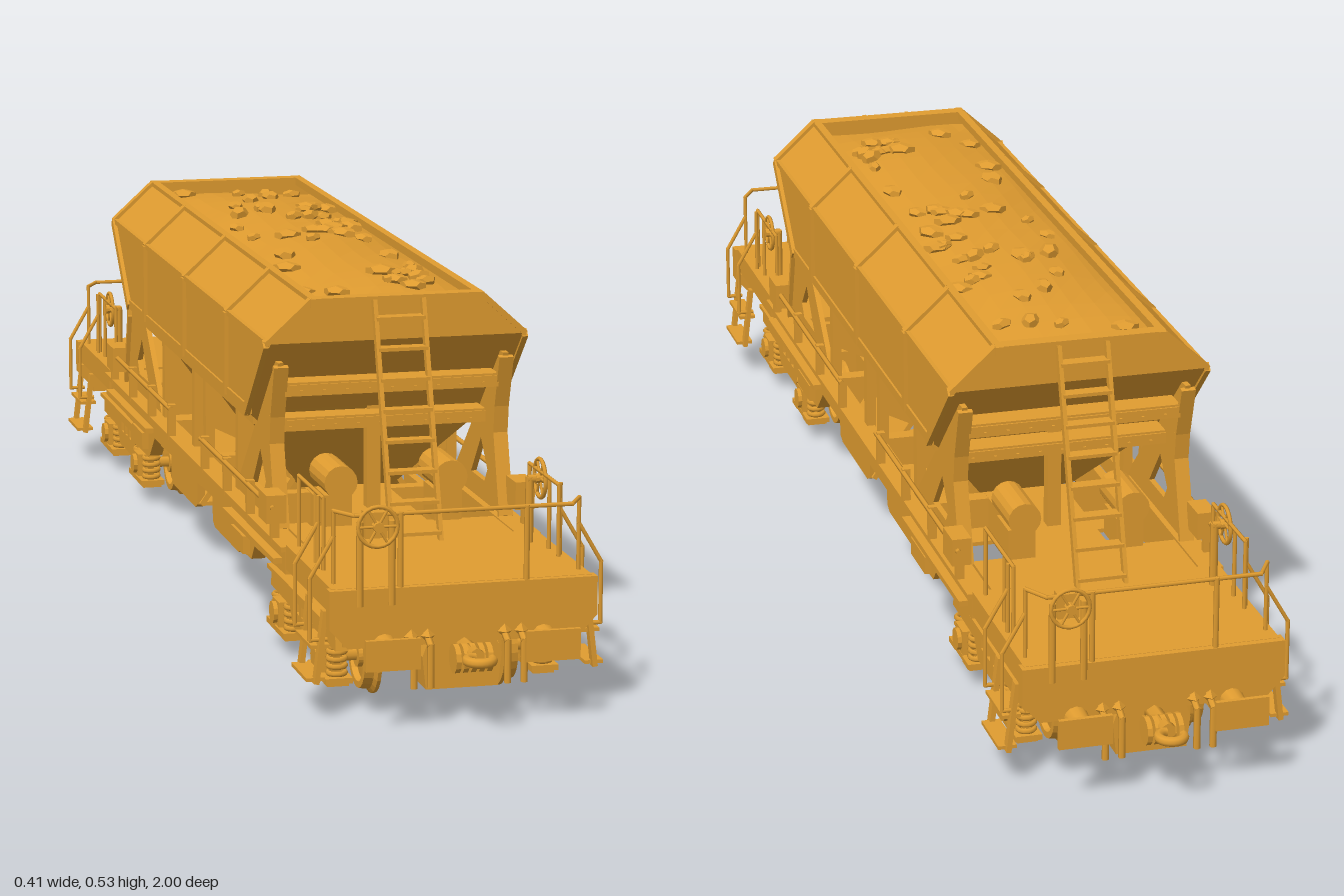
import * as THREE from 'three';

const V = (x, y, z) => new THREE.Vector3(x, y, z);
const smooth = new THREE.MeshStandardMaterial({ color: 0xe09c30, side: THREE.DoubleSide });
const flat = new THREE.MeshStandardMaterial({ color: 0xe09c30, side: THREE.DoubleSide, flatShading: true });

function add(g, name, geo, x = 0, y = 0, z = 0, mat = flat) {
  const m = new THREE.Mesh(geo, mat);
  m.name = name;
  m.position.set(x, y, z);
  g.add(m);
  return m;
}
const box = (g, name, w, h, d, x, y, z) => add(g, name, new THREE.BoxGeometry(w, h, d), x, y, z);

// Square bar between two points
function bar(g, name, a, b, w, t = w) {
  const m = new THREE.Mesh(new THREE.BoxGeometry(w, t, a.distanceTo(b)), flat);
  m.name = name;
  m.position.copy(a).add(b).multiplyScalar(0.5);
  m.lookAt(b);
  g.add(m);
}
// Round rod through a list of points
function rod(g, name, r, ...pts) {
  for (let i = 1; i < pts.length; i++) {
    const d = pts[i].clone().sub(pts[i - 1]);
    const m = add(g, name, new THREE.CylinderGeometry(r, r, d.length() + r, 6), 0, 0, 0, smooth);
    m.position.copy(pts[i]).add(pts[i - 1]).multiplyScalar(0.5);
    m.quaternion.setFromUnitVectors(V(0, 1, 0), d.normalize());
  }
}
const poly = pts => new THREE.Shape(pts.map(p => new THREE.Vector2(...p)));
// Plate with a (z, y) outline, centred on x
function plate(g, name, pts, x, d, holes = []) {
  const s = poly(pts);
  holes.forEach(h => s.holes.push(poly(h)));
  const geo = new THREE.ExtrudeGeometry(s, { depth: d, bevelEnabled: false });
  add(g, name, geo.translate(0, 0, -d / 2).rotateY(-Math.PI / 2), x);
}
// Rectangular loft through [y, halfX, halfZ] rings, bottom to top
function loft(g, name, rings) {
  const pos = [], sx = [1, 1, -1, -1], sz = [1, -1, -1, 1];
  const p = ([y, x, z], k) => [sx[k % 4] * x, y, sz[k % 4] * z];
  for (let i = 0; i + 1 < rings.length; i++) for (let k = 0; k < 4; k++) {
    const a = p(rings[i], k), b = p(rings[i], k + 1), c = p(rings[i + 1], k + 1), d = p(rings[i + 1], k);
    pos.push(...a, ...b, ...c, ...a, ...c, ...d);
  }
  const geo = new THREE.BufferGeometry();
  geo.setAttribute('position', new THREE.Float32BufferAttribute(pos, 3));
  geo.computeVertexNormals();
  return add(g, name, geo);
}
// Spoked handwheel facing z
function handWheel(g, x, y, z, turn) {
  const w = new THREE.Group();
  w.name = 'handWheel';
  add(w, 'wheelRim', new THREE.TorusGeometry(0.027, 0.003, 6, 20), 0, 0, 0, smooth);
  add(w, 'wheelHub', new THREE.CylinderGeometry(0.007, 0.007, 0.014, 10).rotateX(Math.PI / 2));
  for (let i = 0; i < 3; i++) {
    const a = i * Math.PI / 3, c = Math.cos(a) * 0.027, s = Math.sin(a) * 0.027;
    rod(w, 'wheelSpoke', 0.002, V(c, s, 0), V(-c, -s, 0));
  }
  w.position.set(x, y, z);
  w.rotation.y = turn;
  g.add(w);
}

function buildHopper(g) {
  loft(g, 'hopperShell', [[0.18, 0.07, 0.27], [0.31, 0.165, 0.4], [0.33, 0.185, 0.42], [0.45, 0.185, 0.545], [0.51, 0.12, 0.545]]);
  // Rim, corner frames and ribs
  for (const s of [-1, 1]) {
    box(g, 'topRail', 0.012, 0.012, 1.1, s * 0.119, 0.506, 0);
    box(g, 'endTopRail', 0.24, 0.012, 0.022, 0, 0.506, s * 0.537);
    box(g, 'shoulderRail', 0.006, 0.008, 1.09, s * 0.185, 0.45, 0);
    box(g, 'lowerRail', 0.008, 0.014, 0.85, s * 0.184, 0.334, 0);
    box(g, 'bottomRail', 0.02, 0.018, 0.8, s * 0.163, 0.316, 0);
    for (const z of [-0.54, -0.29, 0, 0.29, 0.54]) {
      const end = Math.abs(z) > 0.5;
      bar(g, 'upperRib', V(s * 0.121, 0.51, z), V(s * 0.187, 0.45, z), 0.014, 0.008);
      bar(g, 'lowerRib', V(s * 0.187, 0.45, z), V(s * 0.187, 0.33, end ? Math.sign(z) * 0.418 : z), 0.008, 0.014);
    }
    // Lower side posts and discharge chutes
    for (const z of [-0.26, -0.04, 0.04, 0.26]) {
      box(g, 'chutePost', 0.014, 0.15, 0.018, s * 0.158, 0.245, z);
      plateX(g, s, z);
    }
    for (const z of [-0.15, 0.15]) {
      bar(g, 'chuteFlap', V(s * 0.07, 0.2, z), V(s * 0.15, 0.085, z), 0.2, 0.008);
      plate(g, 'chuteDoor', [[z - 0.1, 0.145], [z - 0.095, 0.085], [z - 0.08, 0.078], [z + 0.08, 0.078], [z + 0.095, 0.085], [z + 0.1, 0.145]], s * 0.15, 0.012);
      box(g, 'doorBand', 0.006, 0.01, 0.2, s * 0.158, 0.135, z);
    }
    // End saddle with cut-outs, flange and cross beams
    for (const e of [-1, 1]) {
      const m = pts => pts.map(([z, y]) => [e * z, y]);
      plate(g, 'endSaddle', m([[0.53, 0.42], [0.5, 0.31], [0.535, 0.185], [0.27, 0.185], [0.29, 0.21], [0.41, 0.325], [0.51, 0.42]]), s * 0.163, 0.008,
        [m([[0.37, 0.215], [0.44, 0.215], [0.455, 0.235], [0.42, 0.275]])]);
      const f = m([[0.53, 0.415], [0.507, 0.34], [0.502, 0.3], [0.535, 0.185]]);
      for (let i = 1; i < 4; i++) bar(g, 'saddleFlange', V(s * 0.163, f[i - 1][1], f[i - 1][0]), V(s * 0.163, f[i][1], f[i][0]), 0.021, 0.008);
    }
  }
  for (const e of [-1, 1]) {
    for (const [y, z] of [[0.384, 0.49], [0.32, 0.425]]) {
      box(g, 'endBeam', 0.31, 0.01, 0.06, 0, y, e * z);
      box(g, 'endBeamLip', 0.31, 0.016, 0.005, 0, y - 0.006, e * (z + 0.03));
      for (let i = -4; i <= 4; i++) box(g, 'beamBolt', 0.004, 0.004, 0.004, i * 0.033, y - 0.008, e * (z + 0.034));
    }
    box(g, 'endPost', 0.02, 0.23, 0.02, 0, 0.295, e * 0.41);
  }
  for (const z of [-0.15, 0.15]) box(g, 'chuteFloor', 0.3, 0.006, 0.17, 0, 0.083, z);
}
// Triangular web beside a chute post
function plateX(g, s, z) {
  const geo = new THREE.ExtrudeGeometry(poly([[s * 0.16, 0.31], [s * 0.16, 0.23], [s * 0.08, 0.19]]), { depth: 0.006, bevelEnabled: false });
  add(g, 'chuteWeb', geo, 0, 0, z - 0.003);
}

function buildLoad(g) {
  let seed = 7;
  const rnd = () => (seed = (seed * 16807) % 2147483647) / 2147483647;
  const height = (x, z) => 0.483 + 0.03 * (1 - (x / 0.15) ** 2) * (1 - (z / 0.56) ** 4) + 0.003 * Math.sin(z * 19 + x * 23);
  const geo = new THREE.PlaneGeometry(0.28, 1.08, 8, 20).rotateX(-Math.PI / 2);
  const p = geo.attributes.position;
  for (let i = 0; i < p.count; i++) p.setY(i, height(p.getX(i), p.getZ(i)));
  add(g, 'ballastLoad', geo);
  // Loose stones
  for (let i = 0; i < 46; i++) {
    const x = (rnd() - 0.5) * 0.2, z = (rnd() - 0.5) * 0.96, r = 0.009 + rnd() * 0.006;
    const st = add(g, 'stone', new THREE.DodecahedronGeometry(r), x, height(x, z) + 0.003, z);
    st.scale.set(1, 0.75, 1.7);
    st.rotation.y = rnd() * 6;
  }
}

function buildFrame(g) {
  box(g, 'centreSill', 0.12, 0.05, 1.76, 0, 0.15, 0);
  for (const s of [-1, 1]) {
    const half = [[0.62, 0.178], [0.62, 0.14], [0.43, 0.135], [0.41, 0.112], [0.31, 0.108], [0.27, 0.145]];
    plate(g, 'sideSill', [...half, ...half.map(([z, y]) => [-z, y]).reverse()], s * 0.168, 0.02);
    box(g, 'sillFlange', 0.034, 0.007, 1.26, s * 0.17, 0.178, 0);
    for (const e of [-1, 1]) {
      // Side handrail, control boxes and sill stiffeners
      rod(g, 'sideRail', 0.004, V(s * 0.186, 0.225, e * 0.11), V(s * 0.186, 0.225, e * 0.58));
      for (const z of [0.12, 0.27, 0.42, 0.57]) box(g, 'railBracket', 0.012, 0.055, 0.01, s * 0.182, 0.203, e * z);
      box(g, 'controlBox', 0.028, 0.04, 0.05, s * 0.18, 0.222, e * 0.55);
      box(g, 'sillBox', 0.012, 0.026, 0.08, s * 0.182, 0.13, e * 0.36);
      box(g, 'sillLedge', 0.016, 0.008, 0.32, s * 0.183, 0.155, e * 0.44);
    }
  }
  for (const z of [-0.52, -0.27, 0, 0.27, 0.52]) box(g, 'crossMember', 0.33, 0.045, 0.025, 0, 0.152, z);
}

function buildBogie(z0) {
  const g = new THREE.Group();
  g.name = 'bogie';
  const wheel = [[0, -0.014], [0.016, -0.014], [0.016, -0.006], [0.042, -0.004], [0.042, -0.009], [0.055, -0.009], [0.055, -0.004], [0.049, 0], [0.047, 0.013], [0.038, 0.013], [0.036, 0.005], [0.018, 0.007], [0.018, 0.014], [0, 0.014]];
  for (const z of [-0.123, 0.123]) {
    rod(g, 'axle', 0.009, V(-0.15, 0.055, z), V(0.15, 0.055, z));
    for (const s of [-1, 1]) {
      const lathe = new THREE.LatheGeometry(wheel.map(p => new THREE.Vector2(...p)), 24).rotateZ(-s * Math.PI / 2);
      add(g, 'wheel', lathe, s * 0.095, 0.055, z);
      box(g, 'axleBox', 0.036, 0.036, 0.04, s * 0.145, 0.055, z);
      add(g, 'axleCap', new THREE.CylinderGeometry(0.016, 0.016, 0.01, 12).rotateZ(Math.PI / 2), s * 0.164, 0.055, z);
      for (const d of [-0.036, 0.036]) {
        for (let i = 0; i < 4; i++) add(g, 'springCoil', new THREE.TorusGeometry(0.012, 0.004, 5, 12).rotateX(Math.PI / 2), s * 0.145, 0.041 + i * 0.01, z + d, smooth);
        box(g, 'springSeat', 0.038, 0.008, 0.032, s * 0.145, 0.032, z + d);
      }
      box(g, 'boxKeeper', 0.03, 0.008, 0.09, s * 0.145, 0.027, z);
      box(g, 'brakeShoe', 0.02, 0.04, 0.008, s * 0.095, 0.055, z - Math.sign(z) * 0.06);
    }
  }
  for (const s of [-1, 1]) {
    const half = [[0.185, 0.108], [0.19, 0.078], [0.075, 0.076], [0.055, 0.05]];
    plate(g, 'bogieSide', [...half, ...half.map(([z, y]) => [-z, y]).reverse()], s * 0.145, 0.018,
      [-0.03, 0, 0.03].map(c => [[c - 0.009, 0.075], [c + 0.009, 0.075], [c + 0.009, 0.09], [c - 0.009, 0.09]]));
    box(g, 'bogieFlange', 0.032, 0.006, 0.37, s * 0.145, 0.108, 0);
    box(g, 'bogieEndBeam', 0.29, 0.022, 0.016, 0, 0.095, s * 0.185);
  }
  box(g, 'bolster', 0.29, 0.04, 0.1, 0, 0.08, 0);
  box(g, 'bogieFloor', 0.1, 0.04, 0.3, 0, 0.08, 0);
  add(g, 'pivot', new THREE.CylinderGeometry(0.04, 0.04, 0.03, 16), 0, 0.115, 0);
  g.position.z = z0;
  return g;
}

function buildEnd() {
  const g = new THREE.Group();
  g.name = 'endPlatform';
  box(g, 'deck', 0.36, 0.035, 0.26, 0, 0.168, 0.76);
  box(g, 'deckNeck', 0.3, 0.02, 0.12, 0, 0.172, 0.58);
  // Headstock, drawgear box and buffers
  const head = poly([[-0.185, 0.185], [-0.185, 0.132], [-0.16, 0.105], [0.16, 0.105], [0.185, 0.132], [0.185, 0.185]]);
  add(g, 'headstock', new THREE.ExtrudeGeometry(head, { depth: 0.02, bevelEnabled: false }), 0, 0, 0.88);
  loft(g, 'drawBox', [[0.04, 0.05, 0.03], [0.085, 0.055, 0.03], [0.125, 0.04, 0.03]]).position.z = 0.86;
  box(g, 'drawBoxFloor', 0.1, 0.004, 0.06, 0, 0.042, 0.86);
  rod(g, 'drawBar', 0.012, V(0, 0.1, 0.88), V(0, 0.1, 0.955));
  add(g, 'drawHook', new THREE.TorusGeometry(0.017, 0.007, 8, 16, 4.6).rotateX(Math.PI / 2), 0, 0.1, 0.976, smooth);
  for (let i = -2; i <= 2; i++) add(g, 'couplingScrew', new THREE.CylinderGeometry(0.02, 0.02, 0.007, 12).rotateZ(Math.PI / 2), i * 0.011, 0.093, 0.935);
  for (const s of [-1, 1]) {
    const c = s * 0.11;
    add(g, 'bufferStem', new THREE.CylinderGeometry(0.014, 0.018, 0.05, 12).rotateX(Math.PI / 2), c, 0.106, 0.915, smooth);
    box(g, 'bufferHead', 0.075, 0.042, 0.007, c, 0.106, 0.944);
    for (const x of [0.053, 0.076]) {
      rod(g, 'brakeHose', 0.005, V(s * x, 0.12, 0.905), V(s * x, 0.11, 0.925), V(s * x, 0.055, 0.925));
      add(g, 'hoseCock', new THREE.OctahedronGeometry(0.01), s * x, 0.12, 0.91);
    }
    // Corner steps and grab rails
    for (const z of [0.775, 0.86]) {
      bar(g, 'stepStringer', V(s * 0.182, 0.15, z), V(s * 0.194, 0.05, z), 0.014, 0.007);
      rod(g, 'grabRail', 0.003, V(s * 0.17, 0.25, z), V(s * 0.202, 0.195, z), V(s * 0.202, 0.11, z), V(s * 0.18, 0.11, z));
      rod(g, 'grabPost', 0.003, V(s * 0.17, 0.18, z), V(s * 0.17, 0.285, z));
    }
    for (const [y, x] of [[0.055, 0.194], [0.1, 0.188]]) box(g, 'step', 0.026, 0.005, 0.085, s * x, y, 0.8175);
    // Deck railings
    rod(g, 'sideGuard', 0.003, V(s * 0.165, 0.18, 0.645), V(s * 0.165, 0.285, 0.645), V(s * 0.165, 0.285, 0.785), V(s * 0.165, 0.18, 0.785));
    rod(g, 'guardPost', 0.003, V(s * 0.165, 0.18, 0.74), V(s * 0.165, 0.285, 0.74));
    rod(g, 'endGuardPost', 0.004, V(s * 0.087, 0.165, 0.895), V(s * 0.087, 0.285, 0.895));
    // Door actuators beneath the hopper end
    add(g, 'actuator', new THREE.CylinderGeometry(0.024, 0.024, 0.09, 16).rotateX(Math.PI / 2), s * 0.08, 0.248, 0.5);
    box(g, 'actuatorBase', 0.04, 0.045, 0.06, s * 0.08, 0.205, 0.5);
    // Sloping ladder stiles
    bar(g, 'ladderStile', V(s * 0.035, 0.508, 0.553), V(s * 0.035, 0.18, 0.655), 0.006, 0.012);
    rod(g, 'wheelBracket', 0.005, V(-0.122 + s * 0.022, 0.165, 0.9), V(-0.122 + s * 0.022, 0.275, 0.9));
  }
  rod(g, 'endGuard', 0.003, V(-0.17, 0.285, 0.86), V(-0.15, 0.285, 0.895), V(0.15, 0.285, 0.895), V(0.17, 0.285, 0.86));
  for (let i = 0; i < 8; i++) {
    const t = (i + 0.6) / 8;
    box(g, 'ladderTread', 0.07, 0.005, 0.02, 0, 0.508 - t * 0.328, 0.553 + t * 0.102);
  }
  // Brake handwheels
  handWheel(g, -0.122, 0.272, 0.91, 0);
  box(g, 'wheelGearbox', 0.03, 0.035, 0.02, -0.122, 0.272, 0.892);
  handWheel(g, 0.165, 0.275, 0.695, Math.PI / 2);
  rod(g, 'wheelColumn', 0.006, V(0.15, 0.18, 0.695), V(0.15, 0.275, 0.695), V(0.165, 0.275, 0.695));
  return g;
}

export function createModel() {
  const model = new THREE.Group();
  model.name = 'hopperWagon';
  for (const [name, build] of [['hopper', buildHopper], ['load', buildLoad], ['underframe', buildFrame]]) {
    const g = new THREE.Group();
    g.name = name;
    build(g);
    model.add(g);
  }
  model.add(buildBogie(0.62), buildBogie(-0.62));
  const back = buildEnd();
  back.rotation.y = Math.PI;
  model.add(buildEnd(), back);
  return model;
}
